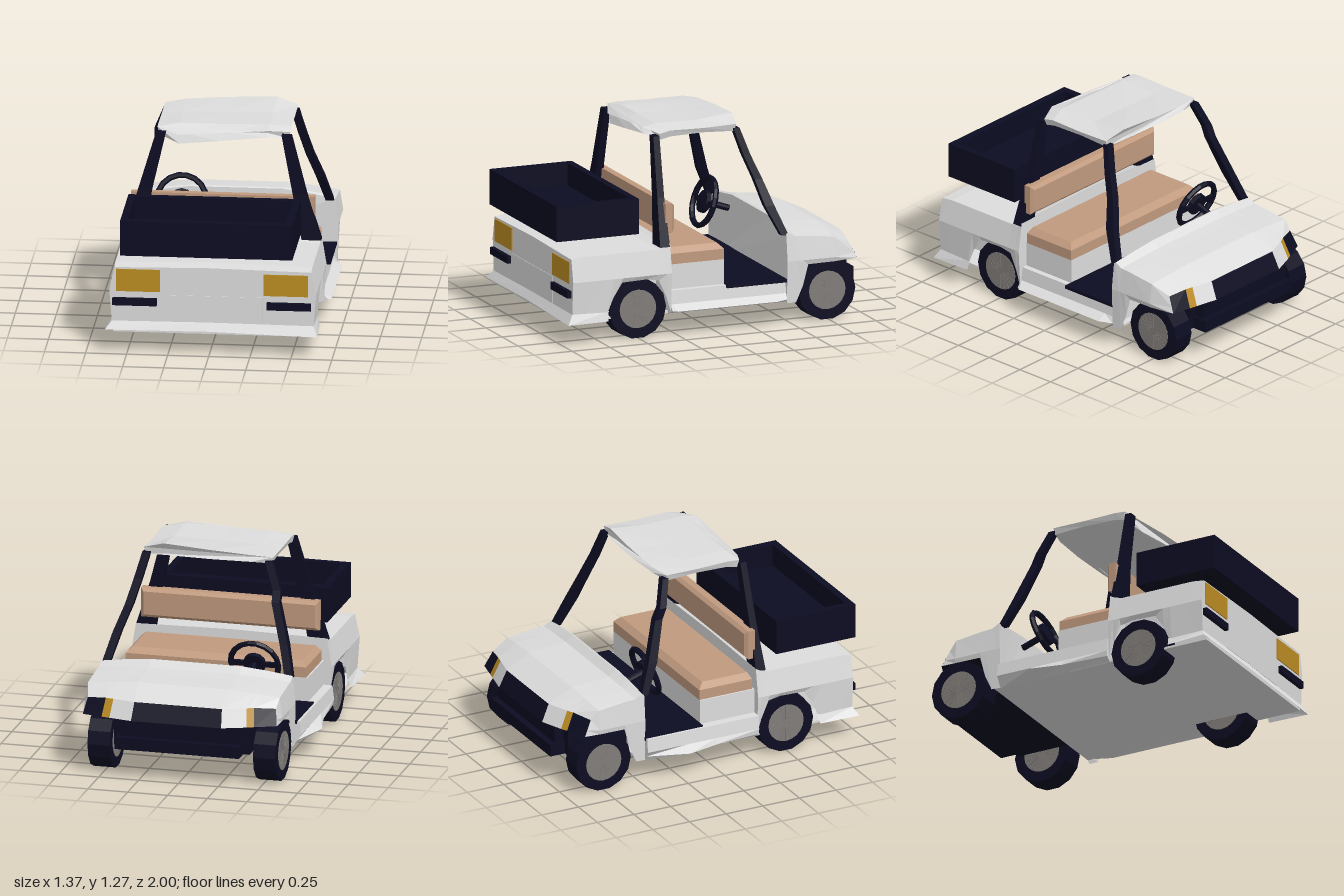
import * as THREE from 'three';

const mat = (name, color) => {
  const m = new THREE.MeshStandardMaterial({ color, side: THREE.DoubleSide, flatShading: true });
  m.name = name;
  return m;
};
const lerp = THREE.MathUtils.lerp;

// Skin a surface over rows of [x, y, z] points
function loft(rows, { closed = false, capStart = false, capEnd = false } = {}) {
  const pos = [];
  const tri = (a, b, c) => pos.push(...a, ...b, ...c);
  const n = rows[0].length;
  for (let i = 0; i + 1 < rows.length; i++) {
    for (let j = 0; j < (closed ? n : n - 1); j++) {
      const k = (j + 1) % n, a = rows[i], b = rows[i + 1];
      tri(a[j], a[k], b[k]);
      tri(a[j], b[k], b[j]);
    }
  }
  const cap = (r) => { for (let j = 1; j + 1 < n; j++) tri(r[0], r[j], r[j + 1]); };
  if (capStart) cap(rows[0]);
  if (capEnd) cap(rows[rows.length - 1]);
  const g = new THREE.BufferGeometry();
  g.setAttribute('position', new THREE.Float32BufferAttribute(pos, 3));
  g.computeVertexNormals();
  return g;
}

export function createModel() {
  const white = mat('white body', 0xdcdcdc), navy = mat('dark navy', 0x0c0c22);
  const tan = mat('tan seat', 0xc09a7e), amber = mat('amber lamp', 0xbc8c22);
  const grey = mat('grey hub', 0x807c7a);
  const model = new THREE.Group();
  const add = (name, geo, m, parent = model) => {
    const mesh = new THREE.Mesh(geo, m);
    mesh.name = name;
    parent.add(mesh);
    return mesh;
  };
  // Box given by its limits on each axis
  const box = (name, m, x0, x1, y0, y1, z0, z1) => {
    const b = add(name, new THREE.BoxGeometry(x1 - x0, y1 - y0, z1 - z0), m);
    b.position.set((x0 + x1) / 2, (y0 + y1) / 2, (z0 + z1) / 2);
    return b;
  };

  // Rear body: stations [z, lower edge, top edge], lower edge follows the wheel arch
  const rear = [[0.3, 0.15, 0.58], [0.33, 0.25, 0.565], [0.38, 0.36, 0.55], [0.46, 0.375, 0.55], [0.62, 0.37, 0.55],
    [0.68, 0.28, 0.55], [0.73, 0.16, 0.55], [0.87, 0.19, 0.55], [0.95, 0.2, 0.54]];
  add('rearBody', loft(rear.map(([z, b, t]) => [
    [-0.595, b, z], [-0.61, Math.max(b, 0.4), z], [-0.58, t, z], [0, t + 0.01, z],
    [0.62, t, z], [0.65, Math.max(b, 0.4), z], [0.635, b, z]]), { capStart: true, capEnd: true }), white);
  add('rearSkirt', loft([
    [[0.635, 0.2, 0.71], [0.635, 0.2, 0.95], [0, 0.205, 0.952], [-0.595, 0.2, 0.95], [-0.595, 0.2, 0.71]],
    [[0.65, 0.14, 0.72], [0.66, 0.14, 0.985], [0, 0.155, 0.98], [-0.635, 0.15, 0.98], [-0.62, 0.145, 0.72]]]), white);
  box('rearCore', white, -0.42, 0.42, 0.15, 0.5, 0.31, 0.9);
  box('underFloor', white, -0.585, 0.585, 0.138, 0.152, -0.5, 0.97);

  // Tail lamps, dark strips and the raised tail panel
  box('tailLampLeft', amber, 0.33, 0.6, 0.385, 0.52, 0.948, 0.956);
  box('tailLampRight', amber, -0.57, -0.3, 0.39, 0.53, 0.948, 0.956);
  box('tailStripLeft', navy, 0.35, 0.62, 0.3, 0.345, 0.945, 0.975);
  box('tailStripRight', navy, -0.59, -0.32, 0.305, 0.35, 0.945, 0.975);
  box('tailPanel', white, -0.295, 0.325, 0.205, 0.372, 0.947, 0.953);

  // Sills, floor and seat base
  const sill = (name, s, rows) => add(name, loft(rows.map(([z, out]) => [
    [s * 0.5, 0.286, z], [s * 0.615, 0.284, z], [s * 0.625, 0.2, z], [s * out, 0.165, z], [s * 0.58, 0.135, z]]),
  { capStart: true, capEnd: true }), white);
  sill('sillLeft', 1, [[0.3, 0.66], [0.27, 0.68], [-0.38, 0.68], [-0.46, 0.645]]);
  sill('sillRight', -1, [[0.3, 0.62], [0, 0.64], [-0.2, 0.685], [-0.46, 0.6]]);
  box('footFloor', navy, -0.6, 0.64, 0.27, 0.291, -0.465, -0.07);
  box('seatBase', white, -0.56, 0.58, 0.15, 0.44, -0.07, 0.3);

  // Bench cushion with a chamfered top, and backrest
  const ring = (y, i) => [[-0.55 + i, y, -0.07 + i], [0.585 - i, y, -0.07 + i], [0.585 - i, y, 0.29 - i / 2], [-0.55 + i, y, 0.29 - i / 2]];
  add('seatCushion', loft([ring(0.44, 0), ring(0.505, 0), ring(0.54, 0.035)], { closed: true, capStart: true, capEnd: true }), tan);
  const back = (z, i) => [[-0.54 + i, 0.635 + i, z], [0.58 - i, 0.635 + i, z], [0.58 - i, 0.82 - i, z], [-0.54 + i, 0.82 - i, z]];
  add('seatBack', loft([back(0.315, 0), back(0.27, 0), back(0.25, 0.02)], { closed: true, capStart: true, capEnd: true }), tan);

  // Nose band: upper-edge columns [x, z], shared by the hood and the lamps
  const nose = [[-0.565, -0.82], [-0.44, -0.875], [-0.4, -0.895], [-0.26, -0.95],
    [0.29, -0.95], [0.43, -0.92], [0.48, -0.91], [0.6, -0.885]];
  const noseTop = nose.map(([x, z], i) => [x, i % 7 ? 0.482 : 0.47, z]);
  const noseLow = nose.map(([x, z]) => [x * 1.03, 0.375, z - 0.048]);

  // Hood and front fenders: stations [z, lower edge, side top, centre top]
  const front = [[-0.46, 0.14, 0.565, 0.615], [-0.475, 0.14, 0.575, 0.62], [-0.52, 0.14, 0.55, 0.58],
    [-0.565, 0.24, 0.548, 0.575], [-0.6, 0.37, 0.545, 0.572], [-0.77, 0.372, 0.525, 0.56]];
  const hoodRows = front.map(([z, b, side, mid]) => {
    const top = nose.map(([x]) => {
      const u = (x + 0.565) / 1.165, c = Math.min(1, 4 * u * (1 - u) * 1.2);
      return [lerp(-0.575, 0.63, u), lerp(side, mid, c), z - 0.02 * c];
    });
    return [[-0.585, b, z], [-0.59, Math.max(b, 0.4), z], ...top, [0.65, Math.max(b, 0.4), z], [0.64, b, z]];
  });
  hoodRows.push([noseLow[0], [-0.575, 0.41, -0.85], ...noseTop, [0.61, 0.41, -0.915], noseLow[7]]);
  add('hood', loft(hoodRows, { capStart: true }), white);
  const bandMats = [navy, amber, white, navy, white, amber, navy];
  const bandNames = ['noseCorner', 'turnLamp', 'headlight', 'noseBand', 'headlight', 'turnLamp', 'noseCorner'];
  bandMats.forEach((m, i) => add(bandNames[i],
    loft([[noseTop[i], noseTop[i + 1]], [noseLow[i], noseLow[i + 1]]]), m));

  // Dark underside of the nose and the front bumper
  const inner = (p) => [p[0], 0.372, -0.5];
  add('wheelWellRoof', loft([noseLow, noseLow.map(inner)]), navy);
  box('frontUnderbody', navy, -0.42, 0.43, 0.19, 0.37, -0.9, -0.5);
  box('noseFace', navy, -0.36, 0.38, 0.25, 0.375, -0.96, -0.88);
  box('frontBumper', navy, -0.38, 0.4, 0.19, 0.265, -1, -0.88);

  // Wheels
  const tyre = new THREE.CylinderGeometry(0.186, 0.186, 0.14, 14).rotateZ(Math.PI / 2);
  const hub = new THREE.CylinderGeometry(0.12, 0.12, 0.146, 20).rotateZ(Math.PI / 2);
  const spoke = new THREE.BoxGeometry(0.15, 0.09, 0.006).translate(0, 0.07, 0);
  for (const z of [0.5, -0.745]) for (const x of [-0.52, 0.52]) {
    const wheel = new THREE.Group();
    wheel.name = (z > 0 ? 'rear' : 'front') + 'Wheel' + (x > 0 ? 'Left' : 'Right');
    wheel.position.set(x, 0.185, z);
    add('tyre', tyre, navy, wheel);
    add('hub', hub, grey, wheel);
    for (let i = 0; i < 20; i++) add('spoke', spoke, grey, wheel).rotation.x = (i * Math.PI) / 10;
    model.add(wheel);
  }

  // Open cargo box
  box('cargoFloor', navy, -0.54, 0.51, 0.63, 0.71, 0.46, 1);
  box('cargoWallFront', navy, -0.54, 0.51, 0.63, 0.85, 0.46, 0.505);
  box('cargoWallRear', navy, -0.54, 0.51, 0.63, 0.85, 0.955, 1);
  box('cargoWallRight', navy, -0.54, -0.495, 0.63, 0.85, 0.46, 1);
  box('cargoWallLeft', navy, 0.465, 0.51, 0.63, 0.85, 0.46, 1);

  // Roof posts: points [x, y, z, width, depth]
  const post = (name, pts) => add(name, loft(pts.map(([x, y, z, w, d]) => [
    [x - w / 2, y, z - d / 2], [x + w / 2, y, z - d / 2], [x + w / 2, y, z + d / 2], [x - w / 2, y, z + d / 2]]),
  { closed: true, capStart: true, capEnd: true }), navy);
  post('rearPostLeft', [[0.41, 1.21, 0.315, 0.06, 0.04], [0.49, 0.85, 0.325, 0.085, 0.045], [0.565, 0.56, 0.335, 0.12, 0.065]]);
  post('rearPostRight', [[-0.355, 1.21, 0.315, 0.06, 0.04], [-0.45, 0.85, 0.325, 0.085, 0.045], [-0.52, 0.56, 0.335, 0.12, 0.065]]);
  post('frontPostLeft', [[0.41, 1.21, -0.215, 0.05, 0.04], [0.45, 1.05, -0.265, 0.05, 0.045], [0.49, 0.9, -0.325, 0.05, 0.05],
    [0.55, 0.74, -0.375, 0.05, 0.06], [0.6, 0.56, -0.455, 0.05, 0.045]]);
  post('frontPostRight', [[-0.36, 1.21, -0.215, 0.05, 0.04], [-0.425, 1.05, -0.265, 0.05, 0.045], [-0.425, 0.98, -0.295, 0.05, 0.05],
    [-0.5, 0.74, -0.375, 0.05, 0.06], [-0.55, 0.56, -0.455, 0.05, 0.045]]);

  // Canopy roof: each row has heights and z across five columns
  const cols = [-0.38, -0.25, 0, 0.3, 0.43];
  const roofRow = (top, low, zs) => [
    ...cols.map((x, i) => [x, top[i], zs[i]]),
    ...cols.map((x, i) => [x * 0.97, low[i], zs[i] * 0.97]).reverse()];
  add('roof', loft([
    roofRow([1.23, 1.2, 1.22, 1.24, 1.22], [1.18, 1.14, 1.165, 1.195, 1.18], [0.29, 0.345, 0.35, 0.345, 0.29]),
    roofRow([1.235, 1.25, 1.25, 1.255, 1.235], [1.195, 1.215, 1.22, 1.22, 1.195], [0.22, 0.26, 0.26, 0.26, 0.22]),
    roofRow([1.23, 1.24, 1.245, 1.25, 1.23], [1.2, 1.21, 1.215, 1.22, 1.2], [0, 0, 0, 0, 0]),
    roofRow([1.23, 1.245, 1.26, 1.275, 1.235], [1.19, 1.2, 1.2, 1.2, 1.19], [-0.205, -0.24, -0.25, -0.24, -0.215]),
  ], { closed: true, capStart: true, capEnd: true }), white);

  // Steering wheel and column
  const steering = new THREE.Group();
  steering.name = 'steering';
  steering.position.set(-0.29, 0.58, -0.305);
  steering.rotation.x = -0.33;
  add('steeringRim', new THREE.TorusGeometry(0.15, 0.018, 6, 18), navy, steering);
  add('steeringHub', new THREE.CylinderGeometry(0.07, 0.07, 0.03, 12).rotateX(Math.PI / 2), navy, steering);
  add('steeringSpoke', new THREE.BoxGeometry(0.29, 0.035, 0.015), navy, steering);
  add('steeringColumn', new THREE.CylinderGeometry(0.02, 0.02, 0.17, 8).rotateX(Math.PI / 2).translate(0, 0, -0.085), navy, steering);
  model.add(steering);

  return model;
}
